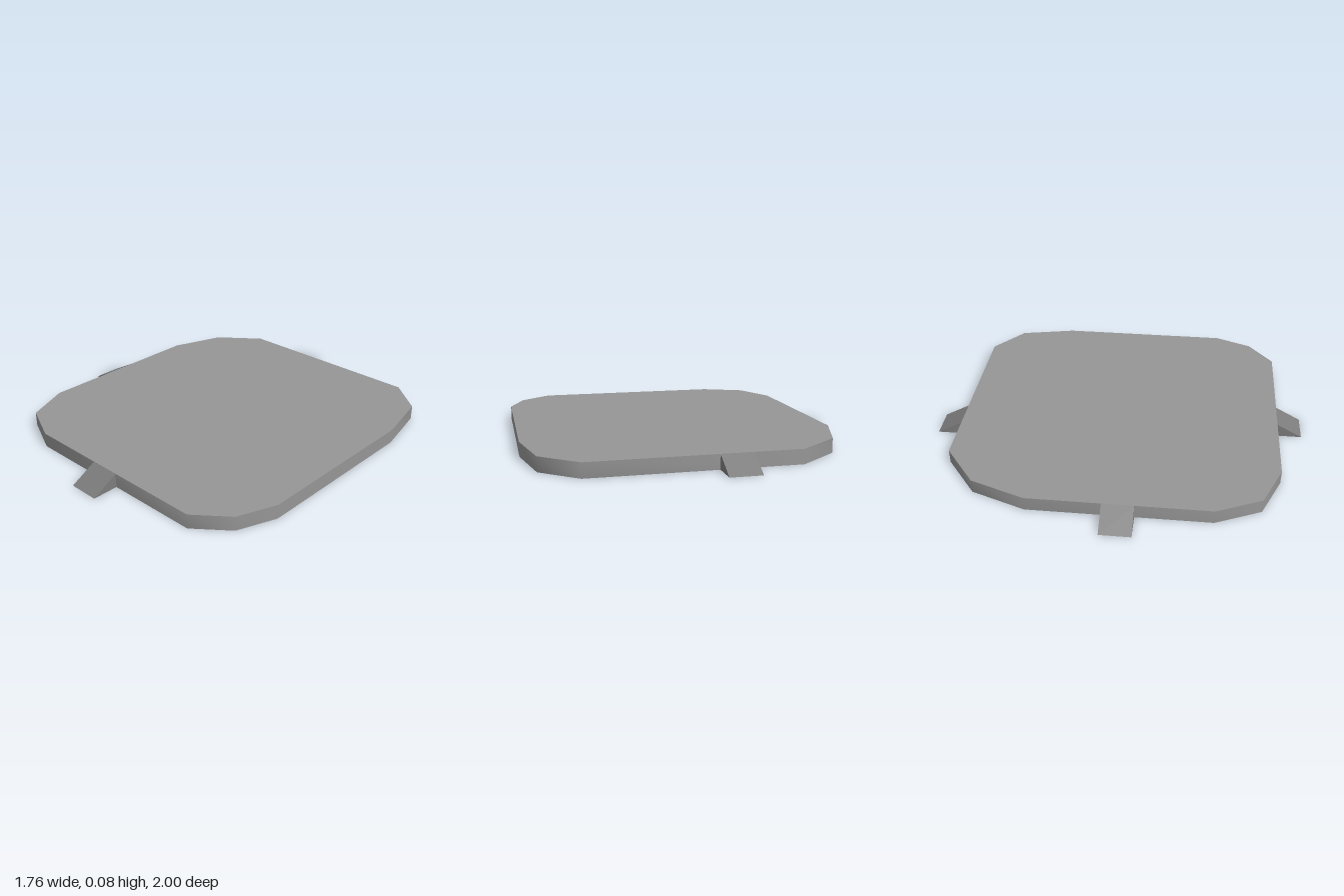
import * as THREE from 'three';
import { toCreasedNormals } from 'three/addons/utils/BufferGeometryUtils.js';

const HEIGHT = 0.075;
const RAMP_WIDTH = 0.162;
const RAMP_LENGTH = 0.138;

const slabMaterial = new THREE.MeshStandardMaterial({ color: 0x969696 });
const rampMaterial = new THREE.MeshStandardMaterial({ color: 0x7d7d7d });

// Flat slab with clipped corners; outline given as [x, z]
function makeSlab() {
  const outline = [
    [-0.42, -0.864], [0.63, -0.864], [0.813, -0.71], [0.876, -0.405],
    [0.876, 0.53], [0.797, 0.73], [0.63, 0.864], [-0.415, 0.864],
    [-0.64, 0.763], [-0.742, 0.53], [-0.742, -0.405], [-0.64, -0.69],
  ];
  const shape = new THREE.Shape(outline.map(([x, z]) => new THREE.Vector2(x, z)));
  const geometry = new THREE.ExtrudeGeometry(shape, { depth: HEIGHT, bevelEnabled: false });
  geometry.rotateX(Math.PI / 2).translate(0, HEIGHT, 0);
  const slab = new THREE.Mesh(toCreasedNormals(geometry, Math.PI / 3), slabMaterial);
  slab.name = 'slab';
  return slab;
}

// Wedge sloping from the slab's top edge to the ground, pointing along local +x
function makeRamp(name, x, z, angle) {
  const shape = new THREE.Shape([
    new THREE.Vector2(0, 0),
    new THREE.Vector2(RAMP_LENGTH, 0),
    new THREE.Vector2(0, HEIGHT),
  ]);
  const geometry = new THREE.ExtrudeGeometry(shape, { depth: RAMP_WIDTH, bevelEnabled: false });
  geometry.translate(0, 0, -RAMP_WIDTH / 2);
  const ramp = new THREE.Mesh(geometry, rampMaterial);
  ramp.name = name;
  ramp.position.set(x, 0, z);
  ramp.rotation.y = angle;
  return ramp;
}

export function createModel() {
  const model = new THREE.Group();
  model.name = 'platform';
  model.add(
    makeSlab(),
    makeRamp('frontRamp', 0.066, 0.862, -Math.PI / 2),
    makeRamp('backRamp', -0.089, -0.862, Math.PI / 2),
    makeRamp('rightRamp', -0.742, 0.06, Math.PI),
  );
  return model;
}
